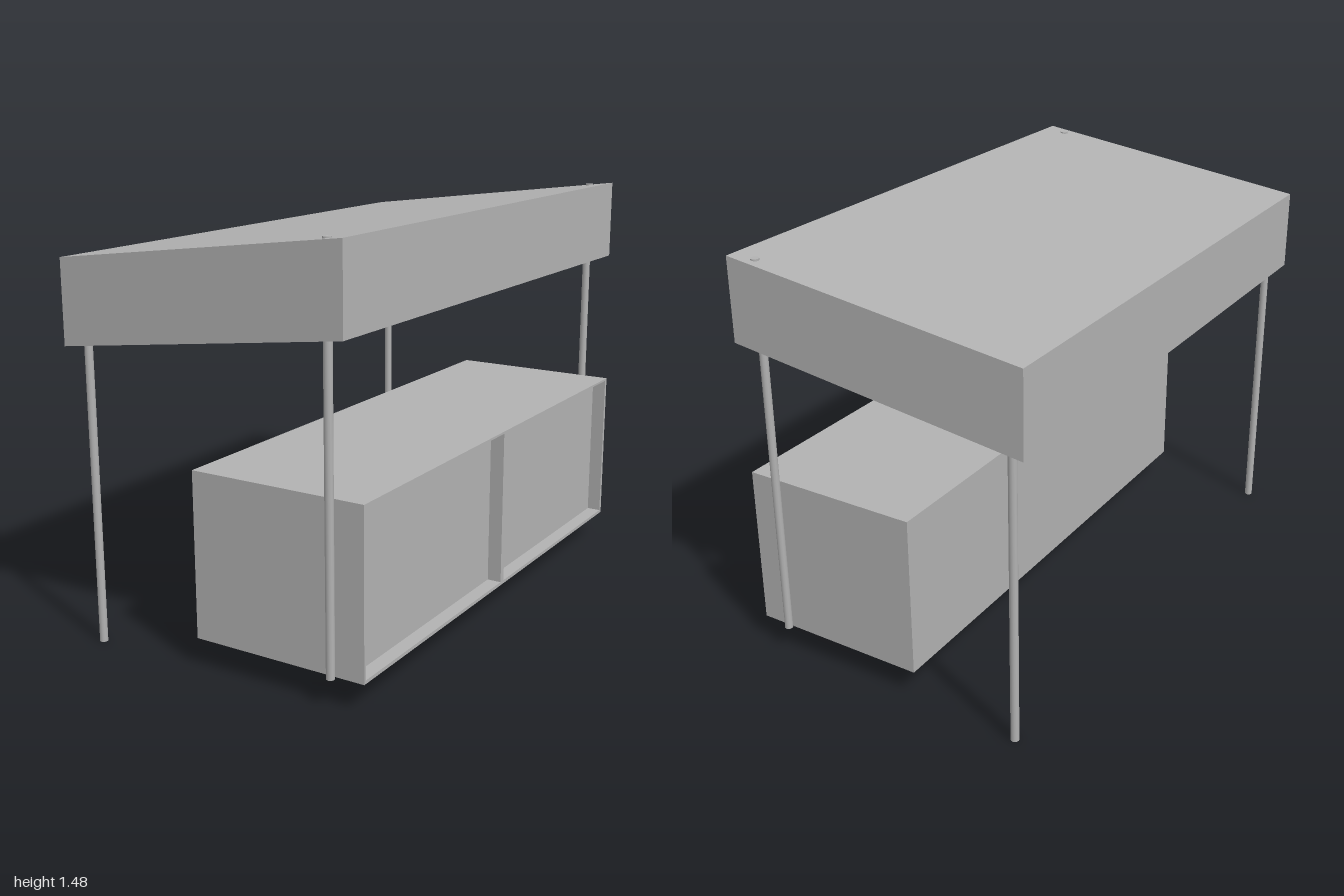
import * as THREE from 'three';

const grey = new THREE.MeshStandardMaterial({ color: 0xb2b2b2 });
grey.name = 'plain grey';

function add(group, name, geometry, x = 0, y = 0, z = 0) {
  const mesh = new THREE.Mesh(geometry, grey);
  mesh.name = name;
  mesh.position.set(x, y, z);
  group.add(mesh);
  return mesh;
}

// Adds a rectangle to a shape or path
function rect(path, x0, y0, x1, y1) {
  path.moveTo(x0, y0);
  path.lineTo(x1, y0);
  path.lineTo(x1, y1);
  path.lineTo(x0, y1);
  path.closePath();
  return path;
}

// Sloping canopy, open below: thin plates sheared along x
function makeCanopy() {
  const canopy = new THREE.Group();
  canopy.name = 'canopy';
  const x0 = -0.563, x1 = 0.525, drop = 0.294, t = 0.004;
  const slope = 0.137 / (x1 - x0), topAtZero = 1.34 - x0 * slope;
  const mid = (x0 + x1) / 2;

  const plate = (name, w, h, d, x, y, z) => {
    const geo = new THREE.BoxGeometry(w, h, d).translate(x, y, z);
    const p = geo.attributes.position;
    for (let i = 0; i < p.count; i++) p.setY(i, p.getY(i) + topAtZero + slope * p.getX(i));
    geo.computeVertexNormals();
    add(canopy, name, geo);
  };

  plate('roof', x1 - x0, t, 2, mid, -t / 2, 0);
  for (const s of [-1, 1]) {
    plate('endValance', x1 - x0, drop, t, mid, -drop / 2, s * (1 - t / 2));
    plate('sideValance', t, drop, 2, s < 0 ? x0 + t / 2 : x1 - t / 2, -drop / 2, 0);
  }
  return canopy;
}

// Counter box with two recessed panels on its right side
function makeCounter() {
  const counter = new THREE.Group();
  counter.name = 'counter';
  const x0 = -0.094, x1 = 0.557, y0 = 0.1, y1 = 0.682, recess = 0.052;
  const w = x1 - recess - x0;
  add(counter, 'counterBody', new THREE.BoxGeometry(w, y1 - y0, 1.89), x0 + w / 2, (y0 + y1) / 2, -0.005);

  // Frame is drawn in (-z, y) and extruded towards +x
  const frame = rect(new THREE.Shape(), -0.94, y0, 0.95, y1);
  for (const [a, b] of [[-0.931, -0.003], [0.021, 0.935]]) {
    frame.holes.push(rect(new THREE.Path(), a, 0.112, b, 0.674));
  }
  const geo = new THREE.ExtrudeGeometry(frame, { depth: recess, bevelEnabled: false });
  geo.rotateY(Math.PI / 2);
  add(counter, 'panelFrame', geo, x1 - recess, 0, 0);
  return counter;
}

export function createModel() {
  const model = new THREE.Group();
  model.name = 'marketStall';
  model.add(makeCanopy(), makeCounter());

  // Four slim posts; the tall pair pokes just through the roof
  const post = (name, x, bottom, top, z) =>
    add(model, name, new THREE.CylinderGeometry(0.0145, 0.0145, top - bottom, 12), x, (bottom + top) / 2, z);
  for (const z of [-0.96, 0.955]) {
    post('lowPost', -0.5, 0, 1.34, z);
    post('highPost', 0.443, 0.098, 1.472, z);
  }
  return model;
}
